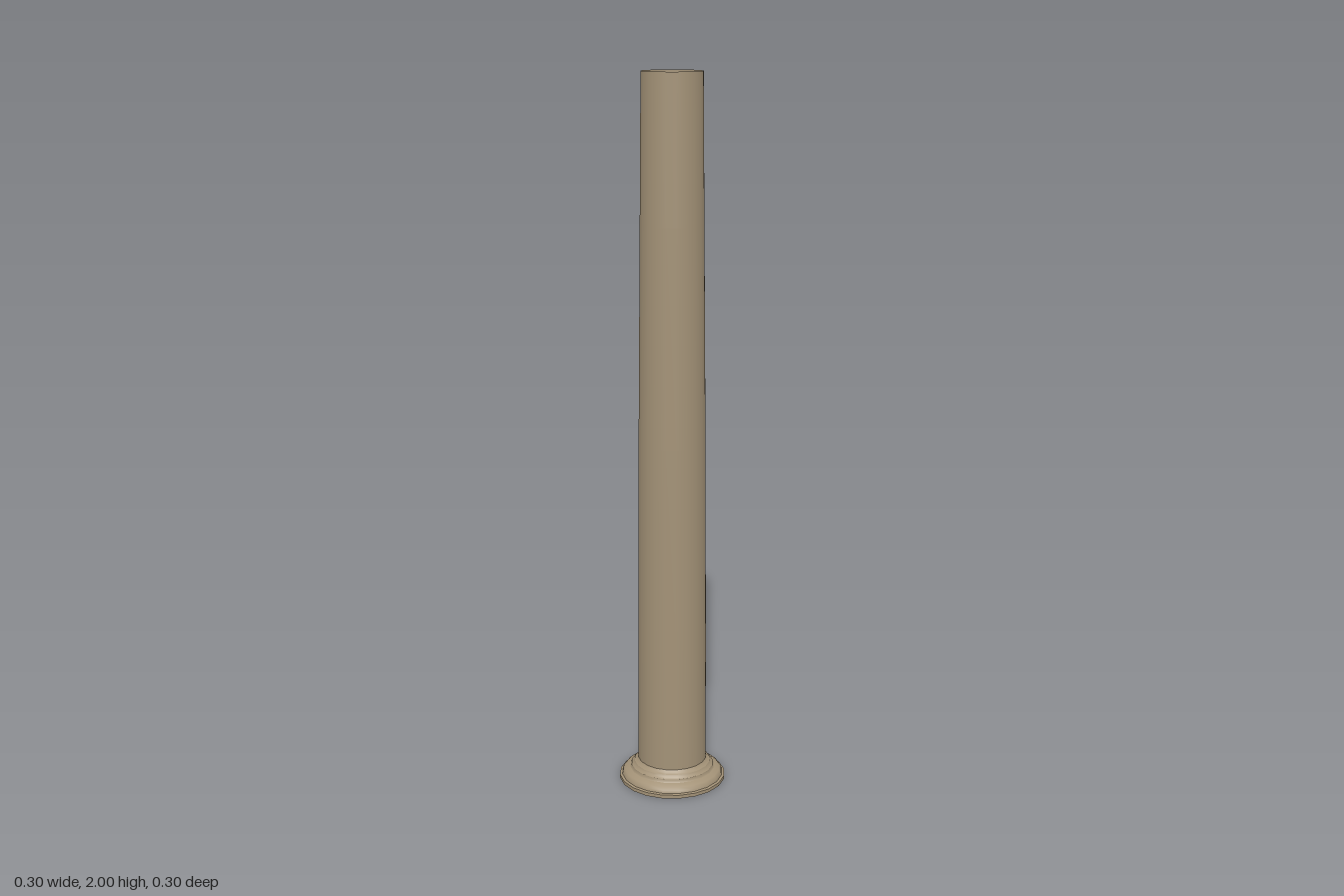
import * as THREE from 'three';

const SIDES = 20;

export function createModel() {
  const column = new THREE.Group();
  column.name = 'column';
  const stone = new THREE.MeshStandardMaterial({ color: 0xa39277, side: THREE.DoubleSide });
  stone.name = 'tan stone';

  // One open turned ring or tube from [radius, height] points, bottom to top
  const turn = (name, points) => {
    const profile = points.map(([r, y]) => new THREE.Vector2(r, y));
    const mesh = new THREE.Mesh(new THREE.LatheGeometry(profile, SIDES), stone);
    mesh.name = name;
    column.add(mesh);
  };

  // Stepped base mouldings, separate so that the steps stay crisp
  turn('baseRim', [[0.152, 0], [0.152, 0.01]]);
  turn('baseRimTop', [[0.152, 0.01], [0.145, 0.012]]);
  turn('lowerMoulding', [[0.145, 0.012], [0.143, 0.02], [0.137, 0.027], [0.122, 0.033]]);
  turn('middleStep', [[0.122, 0.033], [0.119, 0.036], [0.118, 0.042]]);
  turn('upperMoulding', [[0.118, 0.042], [0.112, 0.046], [0.109, 0.052]]);
  turn('neck', [[0.109, 0.052], [0.102, 0.056], [0.098, 0.062]]);

  // Hollow shaft, gently tapering to an open top
  turn('shaft', [[0.098, 0.062], [0.097, 0.4], [0.093, 1], [0.087, 1.6], [0.083, 2]]);

  return column;
}
